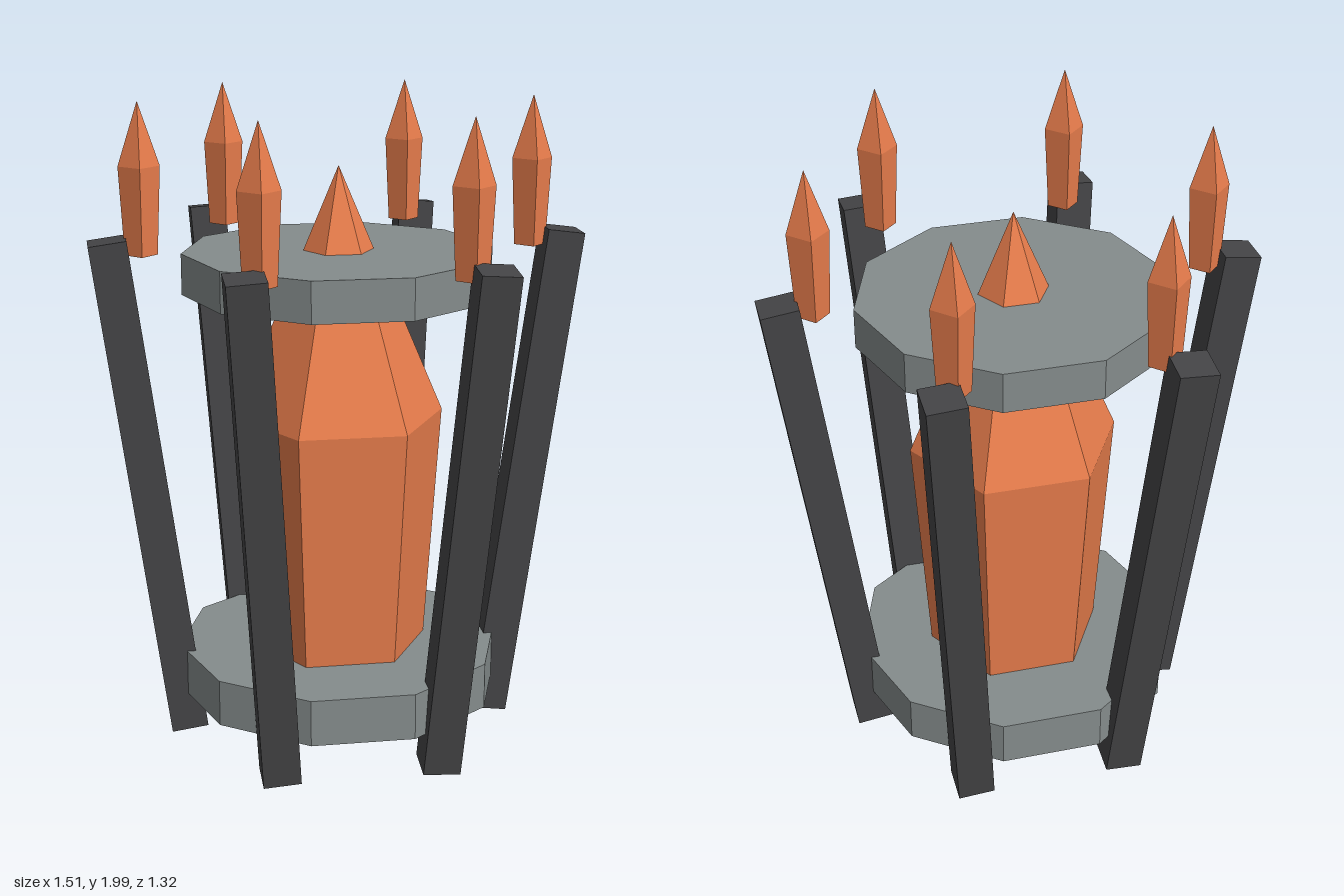
import * as THREE from 'three';

const material = (color) => new THREE.MeshStandardMaterial({ color, flatShading: true });

export function createModel() {
  const model = new THREE.Group();
  model.name = 'crystalBrazier';

  const crystalMat = material(0xe87d4c);
  const ringMat = material(0x858c8c);
  const postMat = material(0x444446);

  const add = (name, geometry, mat) => {
    const mesh = new THREE.Mesh(geometry, mat);
    mesh.name = name;
    model.add(mesh);
    return mesh;
  };

  // Faceted crystal: closed base, widening body, pointed tip
  const crystal = (sides, baseY, baseR, waistY, waistR, tipY) =>
    new THREE.LatheGeometry([
      new THREE.Vector2(0, baseY),
      new THREE.Vector2(baseR, baseY),
      new THREE.Vector2(waistR, waistY),
      new THREE.Vector2(0, tipY),
    ], sides, Math.PI / 2);

  add('centralCrystal', crystal(6, 0.02, 0.26, 1.03, 0.327, 1.8), crystalMat);

  // Ten-sided plates that hold the crystal
  const plate = (name, radius, bottom, top) => {
    const geometry = new THREE.CylinderGeometry(radius, radius, top - bottom, 10, 1, false, Math.PI / 2);
    add(name, geometry, ringMat).position.y = (bottom + top) / 2;
  };
  plate('lowerPlate', 0.51, 0.14, 0.285);
  plate('upperPlate', 0.478, 1.42, 1.545);

  // Six outward-leaning posts, each with a small floating crystal
  const up = new THREE.Vector3(0, 1, 0);
  const postGeometry = new THREE.BoxGeometry(0.115, 1.586, 0.115);
  const shardGeometry = crystal(4, 1.545, 0.049, 1.81, 0.062, 2);
  for (let i = 0; i < 6; i++) {
    const angle = (i * Math.PI) / 3;
    const c = Math.cos(angle);
    const s = Math.sin(angle);
    const foot = new THREE.Vector3(0.487 * c, 0.018, 0.487 * s);
    const head = new THREE.Vector3(0.697 * c, 1.59, 0.697 * s);

    const post = add('post' + (i + 1), postGeometry, postMat);
    post.position.addVectors(foot, head).multiplyScalar(0.5);
    post.quaternion.setFromUnitVectors(up, head.sub(foot).normalize());

    add('smallCrystal' + (i + 1), shardGeometry, crystalMat).position.set(0.595 * c, 0, 0.595 * s);
  }

  return model;
}
